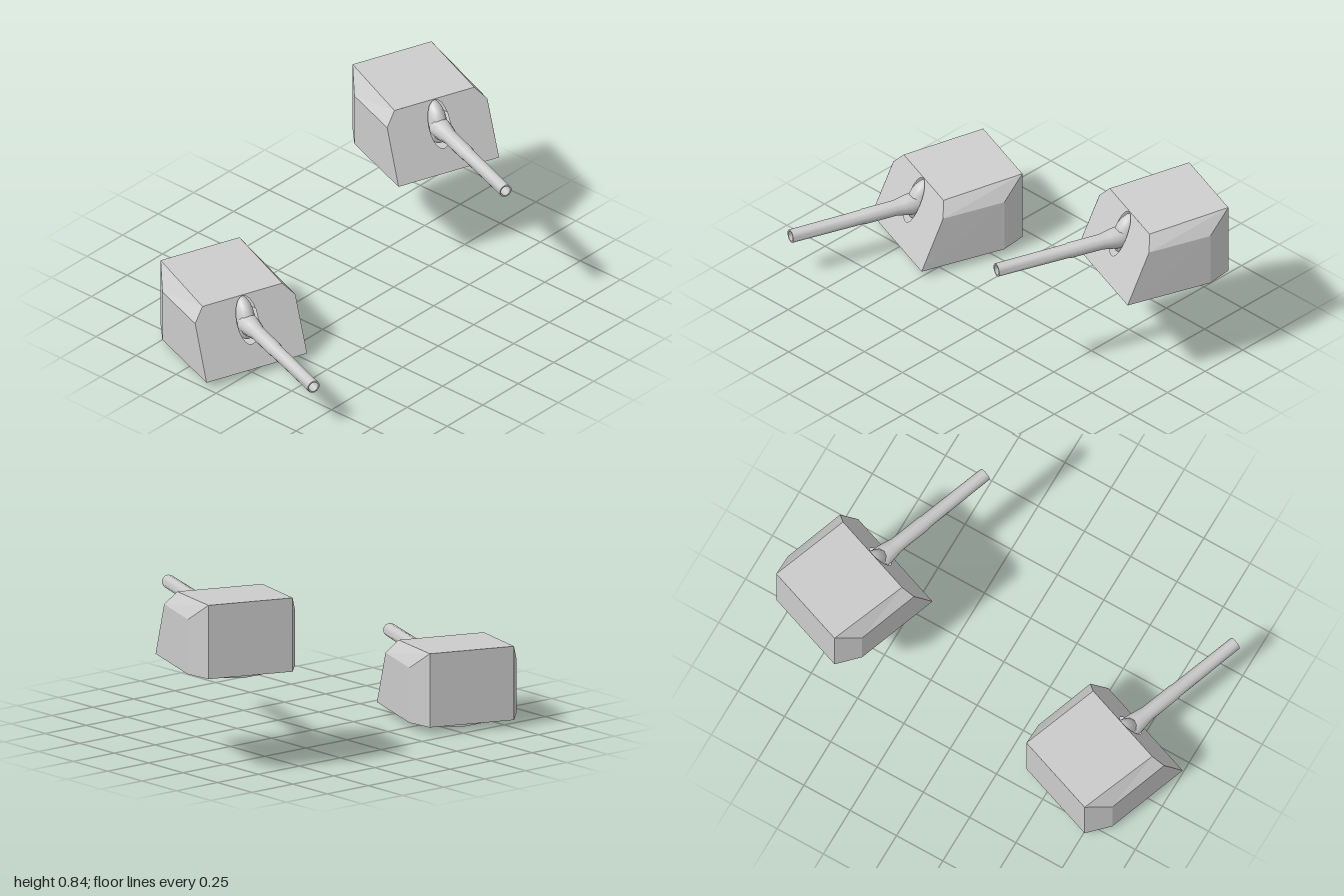
import * as THREE from 'three';
import { toCreasedNormals } from 'three/addons/utils/BufferGeometryUtils.js';

const grey = new THREE.MeshStandardMaterial({ color: 0xcccccc, side: THREE.DoubleSide });

function addMesh(parent, name, geometry) {
  const mesh = new THREE.Mesh(geometry, grey);
  mesh.name = name;
  parent.add(mesh);
  return mesh;
}

// Flat-faced geometry from convex polygons, each drawn as a fan
function polygons(faces) {
  const pos = [];
  for (const f of faces)
    for (let i = 1; i < f.length - 1; i++) pos.push(...f[0], ...f[i], ...f[i + 1]);
  const geo = new THREE.BufferGeometry();
  geo.setAttribute('position', new THREE.Float32BufferAttribute(pos, 3));
  geo.computeVertexNormals();
  return geo;
}

const mirror = ([x, y, z]) => [-x, y, z];

function armourShell() {
  // Corners of the left half
  const frontBase = [0.268, 0.033, 0.287], sideBase = [0.267, 0.033, -0.143], backBase = [0.21, 0.033, -0.264];
  const frontChine = [0.267, 0.297, 0.175], backChine = [0.267, 0.297, -0.143];
  const frontRoof = [0.213, 0.36, 0.147], backRoof = [0.21, 0.388, -0.264];

  const half = [
    [frontBase, sideBase, backChine, frontChine],
    [sideBase, backBase, backRoof, backChine],
    [frontChine, backChine, backRoof, frontRoof],
  ];
  const otherHalf = half.map(f => f.map(mirror).reverse());
  const middle = [
    [backBase, mirror(backBase), mirror(backRoof), backRoof],
    [frontRoof, backRoof, mirror(backRoof), mirror(frontRoof)],
    [frontBase, mirror(frontBase), mirror(sideBase), mirror(backBase), backBase, sideBase],
  ];
  return polygons([...half, ...otherHalf, ...middle]);
}

// Sloping front plate with the upright gun slot
function frontPlate() {
  const shape = new THREE.Shape([
    [-0.268, 0], [0.268, 0], [0.267, 0.287], [0.213, 0.3557], [-0.213, 0.3557], [-0.267, 0.287],
  ].map(p => new THREE.Vector2(...p)));
  const slot = new THREE.Path();
  slot.absellipse(0, 0.234, 0.056, 0.118, 0, Math.PI * 2, true);
  shape.holes.push(slot);
  return new THREE.ShapeGeometry(shape, 10)
    .rotateX(-Math.atan2(0.14, 0.327))
    .translate(0, 0.033, 0.287);
}

// Stepped barrel flaring into the mantlet, with an open bore
function gunBarrel() {
  const profile = [
    [0.052, 0.19], [0.05, 0.225], [0.044, 0.26], [0.037, 0.295], [0.037, 0.46],
    [0.034, 0.47], [0.032, 0.838], [0.025, 0.838], [0.025, 0.62], [0, 0.62],
  ].map(p => new THREE.Vector2(...p));
  return toCreasedNormals(new THREE.LatheGeometry(profile, 10), 0.9)
    .rotateX(Math.PI / 2)
    .translate(0, 0.232, 0);
}

function createTurret(name) {
  const turret = new THREE.Group();
  turret.name = name;

  addMesh(turret, 'armourShell', armourShell());
  addMesh(turret, 'frontPlate', frontPlate());
  addMesh(turret, 'gunBarrel', gunBarrel());

  // Rounded gun mount sitting in the slot
  const mantlet = addMesh(turret, 'mantlet', new THREE.SphereGeometry(1, 12, 10));
  mantlet.scale.set(0.05, 0.108, 0.075);
  mantlet.position.set(0, 0.243, 0.155);
  mantlet.rotation.x = -0.4;

  // Open base ring
  const ring = addMesh(turret, 'baseRing', new THREE.CylinderGeometry(0.174, 0.174, 0.034, 10, 1, true));
  ring.position.y = 0.017;

  turret.rotation.y = -0.342;
  return turret;
}

export function createModel() {
  const model = new THREE.Group();
  model.name = 'gunTurrets';

  const lower = createTurret('lowerTurret');
  lower.position.set(-0.651, 0, -0.24);
  const upper = createTurret('upperTurret');
  upper.position.set(0.7, 0.447, -0.24);

  model.add(lower, upper);
  return model;
}
